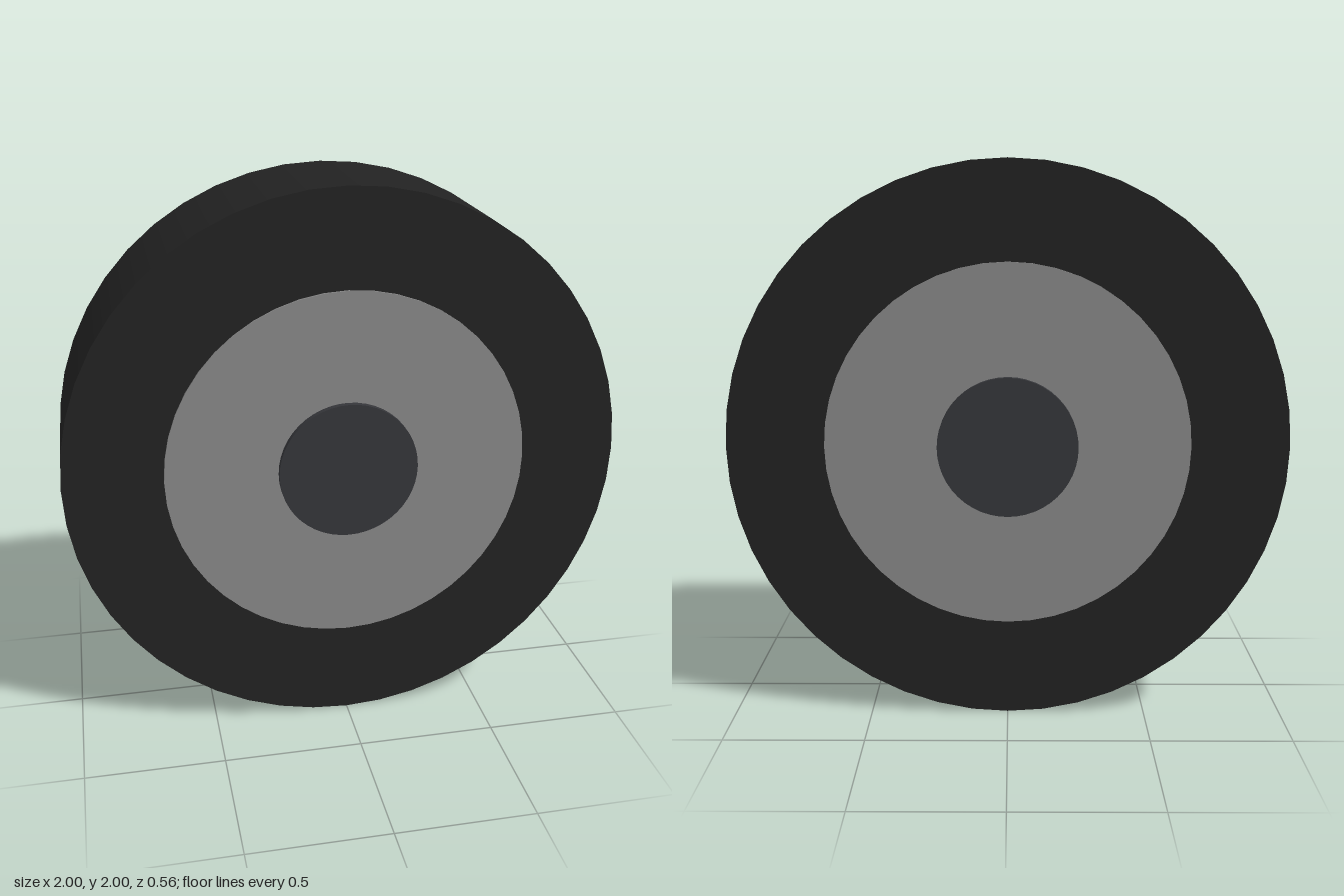
import * as THREE from 'three';

// A disc lying along z, centred on the axle
function disc(name, radius, width, color) {
  const geometry = new THREE.CylinderGeometry(radius, radius, width, 48);
  geometry.rotateX(Math.PI / 2);
  const mesh = new THREE.Mesh(geometry, new THREE.MeshStandardMaterial({ color }));
  mesh.name = name;
  mesh.position.y = 1;
  return mesh;
}

export function createModel() {
  const wheel = new THREE.Group();
  wheel.name = 'wheel';
  wheel.add(
    disc('tire', 1, 0.5, 0x222222),
    disc('rim', 0.65, 0.515, 0x888888),
    disc('hub', 0.25, 0.56, 0x35363a),
  );
  return wheel;
}
